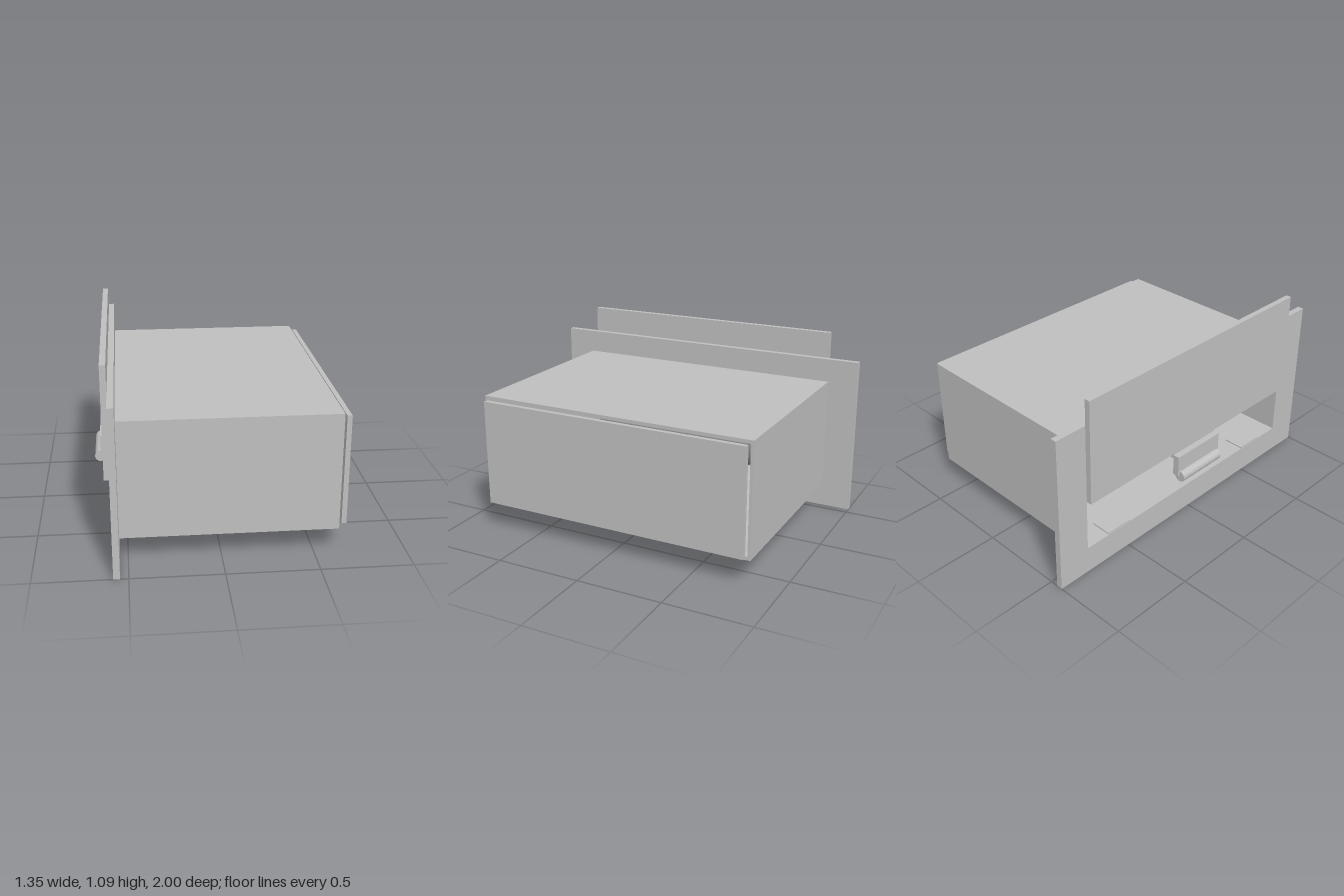
import * as THREE from 'three';

export function createModel() {
  const model = new THREE.Group();
  model.name = 'wallDeliveryBox';
  const grey = new THREE.MeshStandardMaterial({ color: 0xbfbfbf });
  grey.name = 'plain grey';

  const add = (name, geometry, parent = model) => {
    const mesh = new THREE.Mesh(geometry, grey);
    mesh.name = name;
    parent.add(mesh);
    return mesh;
  };

  // Box given by its lower and upper limits on each axis
  const block = (name, [x0, x1], [y0, y1], [z0, z1], parent) => {
    const mesh = add(name, new THREE.BoxGeometry(x1 - x0, y1 - y0, z1 - z0), parent);
    mesh.position.set((x0 + x1) / 2, (y0 + y1) / 2, (z0 + z1) / 2);
    return mesh;
  };

  // Rectangular ring in the z-y plane, extruded along x
  const ring = (name, [x0, x1], [y0, y1], halfZ) => {
    const rect = (Type, h, a, b) => {
      const p = new Type();
      p.moveTo(-h, a).lineTo(h, a).lineTo(h, b).lineTo(-h, b).closePath();
      return p;
    };
    const shape = rect(THREE.Shape, halfZ, y0, y1);
    shape.holes.push(rect(THREE.Path, 0.807, 0.16, 0.78));
    const geometry = new THREE.ExtrudeGeometry(shape, { depth: x1 - x0, bevelEnabled: false });
    geometry.rotateY(Math.PI / 2).translate(x0, 0, 0);
    return add(name, geometry);
  };

  // Hollow body, wall frame and separate end panel
  ring('bodyShell', [-0.545, 0.63], [0.14, 0.8], 0.825);
  ring('wallFrame', [-0.58, -0.545], [0, 0.937], 1);
  block('endPanel', [0.647, 0.674], [0.16, 0.78], [-0.802, 0.802]);

  // Raised sliding door
  const door = new THREE.Group();
  door.name = 'slidingDoor';
  model.add(door);
  block('doorPanel', [-0.612, -0.58], [0.47, 1.09], [-0.807, 0.807], door);

  // Handle hanging from the lower edge of the door
  const handle = new THREE.Group();
  handle.name = 'handle';
  door.add(handle);
  block('handleBracket', [-0.606, -0.58], [0.435, 0.47], [-0.172, 0.172], handle);
  block('handlePlate', [-0.643, -0.606], [0.33, 0.456], [-0.172, 0.172], handle);
  const grip = add('handleGrip', new THREE.CylinderGeometry(0.033, 0.033, 0.315, 32), handle);
  grip.rotation.x = Math.PI / 2;
  grip.position.set(-0.643, 0.323, 0);

  // Locking blocks passing through the floor
  for (const side of [-1, 1]) {
    const z = side * 0.57;
    block('floorBlock', [-0.577, -0.455], [0.087, 0.168], [z - 0.08, z + 0.08]);
  }

  return model;
}
